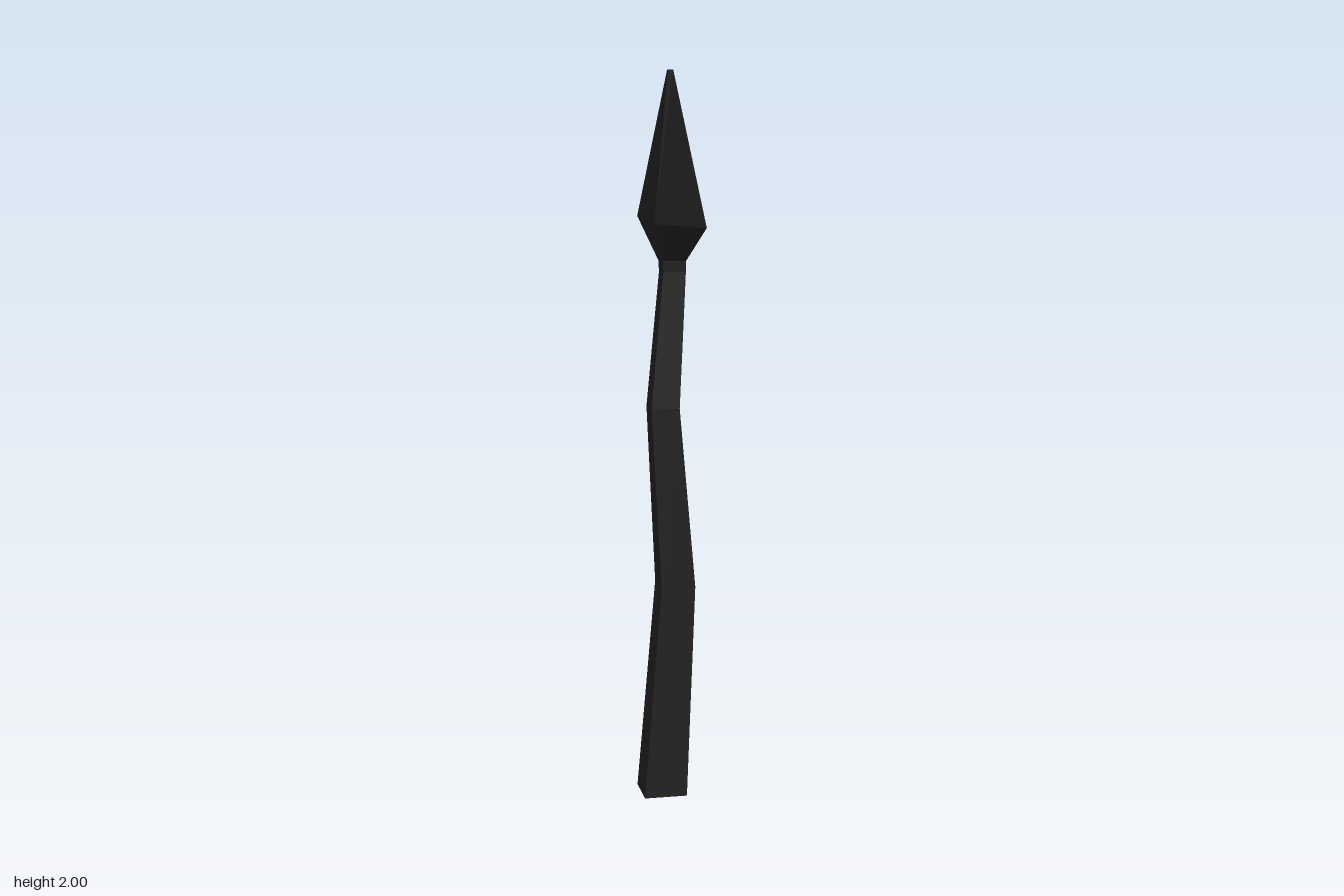
import * as THREE from 'three';

const material = new THREE.MeshStandardMaterial({ color: 0x262626, flatShading: true });

// Rectangular ring, ordered front right, front left, back left, back right
const ring = (y, x0, x1, z0, z1) => [[x0, y, z1], [x1, y, z1], [x1, y, z0], [x0, y, z0]];

// Joins four-cornered rings from bottom to top and caps both ends
function loft(name, rings) {
  const positions = [];
  const quad = (a, b, c, d) => positions.push(...a, ...b, ...c, ...a, ...c, ...d);
  for (let i = 0; i < rings.length - 1; i++) {
    for (let k = 0; k < 4; k++) {
      const n = (k + 1) % 4;
      quad(rings[i][k], rings[i][n], rings[i + 1][n], rings[i + 1][k]);
    }
  }
  quad(...[...rings[0]].reverse());
  quad(...rings[rings.length - 1]);
  const geometry = new THREE.BufferGeometry();
  geometry.setAttribute('position', new THREE.Float32BufferAttribute(positions, 3));
  geometry.computeVertexNormals();
  const mesh = new THREE.Mesh(geometry, material);
  mesh.name = name;
  return mesh;
}

export function createModel() {
  const group = new THREE.Group();
  group.name = 'spear';

  // Crooked tapering shaft
  const neck = ring(1.5, -0.024, 0.04, -0.055, 0.008);
  group.add(loft('shaft', [
    ring(0, -0.08, 0.04, -0.09, 0.03),
    ring(0.6, -0.03, 0.065, -0.077, 0.02),
    ring(1.1, -0.058, 0.02, -0.055, 0.022),
    ring(1.47, -0.022, 0.04, -0.057, 0.006),
    neck,
  ]));

  // Skewed spearhead, leaning forward to a small blunt tip
  group.add(loft('spearhead', [
    neck,
    [[-0.055, 1.6, 0.05], [0.08, 1.59, 0.085], [0.062, 1.6, -0.055], [-0.077, 1.62, -0.085]],
    ring(2, -0.026, -0.012, 0.077, 0.09),
  ]));
  return group;
}
